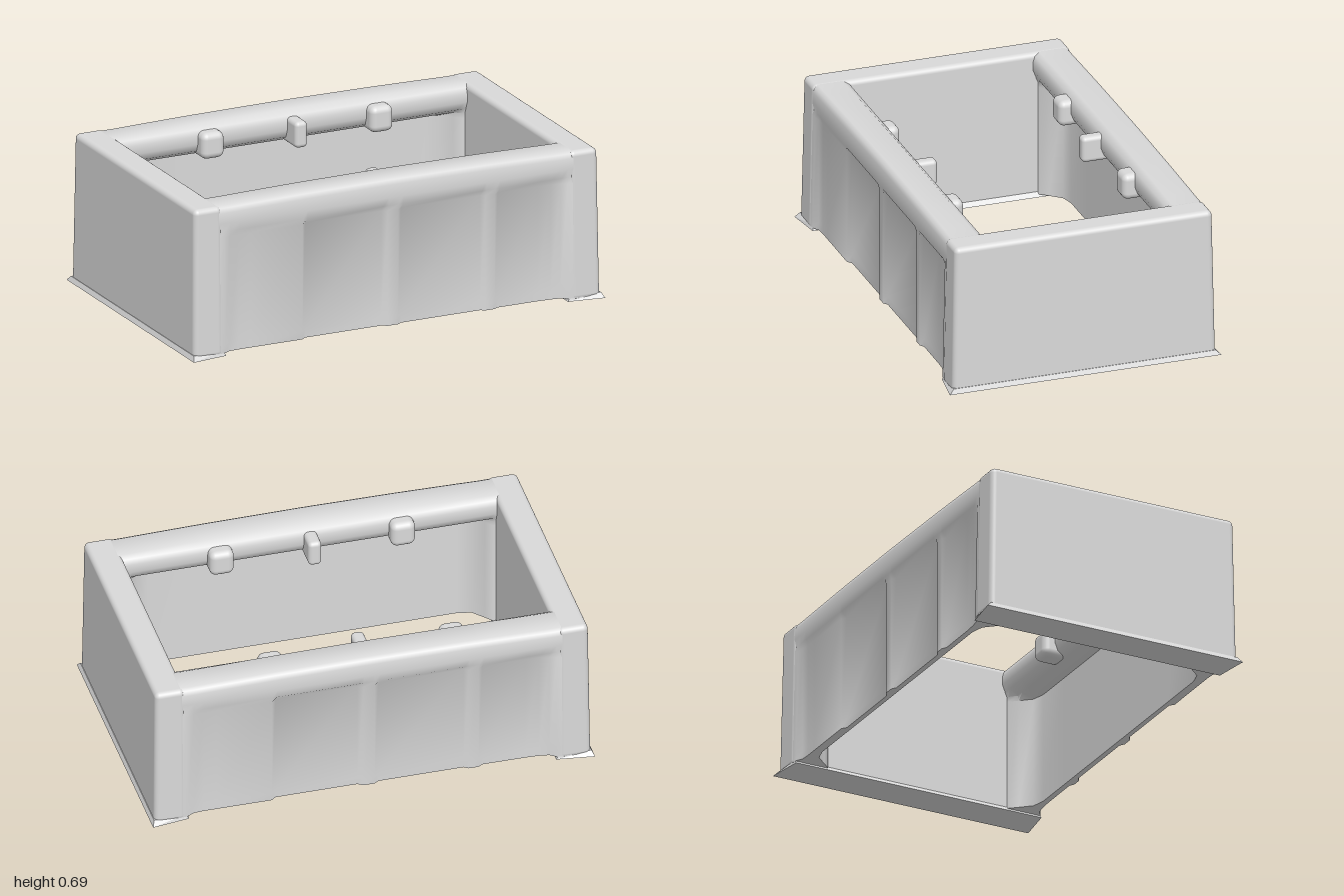
import * as THREE from 'three';
import { toCreasedNormals } from 'three/addons/utils/BufferGeometryUtils.js';
import { RoundedBoxGeometry } from 'three/addons/geometries/RoundedBoxGeometry.js';

const grey = new THREE.MeshStandardMaterial({ color: 0xd9d9d9 });
grey.name = 'pale grey';

function add(parent, name, geometry, x = 0, y = 0, z = 0) {
  const mesh = new THREE.Mesh(geometry, grey);
  mesh.name = name;
  mesh.position.set(x, y, z);
  parent.add(mesh);
}

// Stations along the long wall: x, outer face z, inner face z
const stations = [
  [-0.955, 0.596, 0.44], [-0.87, 0.596, 0.44], [-0.835, 0.592, 0.445], [-0.805, 0.587, 0.48],
  [-0.76, 0.584, 0.53], [-0.7, 0.584, 0.545], [-0.45, 0.585, 0.545], [-0.43, 0.568, 0.545],
  [-0.06, 0.568, 0.545], [-0.035, 0.584, 0.545], [0.015, 0.584, 0.545], [0.035, 0.57, 0.545],
  [0.42, 0.57, 0.545], [0.44, 0.584, 0.545], [0.485, 0.584, 0.545], [0.505, 0.571, 0.545],
  [0.7, 0.572, 0.545], [0.76, 0.575, 0.53], [0.805, 0.582, 0.48], [0.835, 0.592, 0.445],
  [0.87, 0.596, 0.44], [0.955, 0.596, 0.44],
];

// Long wall and top rail: one cross-section swept along x, with shallow panels between ribs
function longWallGeometry() {
  const section = ([x, face, inner]) => {
    const top = 0.683 + 0.01 * Math.max(0, 1 - (x / 0.8) ** 2);
    const flare = Math.abs(x) > 0.83 ? 0.012 : 0; // corner posts lean out with the end walls
    return [
      [inner, 0.012], [inner, 0.525], [Math.min(inner, 0.475), 0.548], [0.434, 0.572],
      [0.421, 0.605], [0.421, 0.645], [0.43, 0.67], [0.455, top], [0.572, top],
      [0.588, top - 0.009], [0.596, top - 0.03], [0.597, 0.605], [0.593, 0.568],
      [face + flare * 0.2, 0.54], [face + flare, 0.05], [face + flare, 0.012],
    ];
  };

  const positions = [];
  const index = [];
  const n = section(stations[0]).length;
  for (const s of stations) for (const [z, y] of section(s)) positions.push(s[0], y, z);
  for (let i = 0; i < stations.length - 1; i++) {
    for (let j = 0; j < n; j++) {
      const a = i * n + j, b = i * n + (j + 1) % n;
      index.push(a, b, a + n, b, b + n, a + n);
    }
  }
  const g = new THREE.BufferGeometry();
  g.setAttribute('position', new THREE.Float32BufferAttribute(positions, 3));
  g.setIndex(index);
  return toCreasedNormals(g, 1);
}

// End wall: rounded block that widens slightly towards the floor
function endWallGeometry() {
  const g = new RoundedBoxGeometry(0.135, 0.684, 1.194, 4, 0.024);
  const p = g.attributes.position;
  for (let i = 0; i < p.count; i++) {
    const t = 0.5 - p.getY(i) / 0.684;
    p.setZ(i, p.getZ(i) * (1 + 0.022 * t));
    if (p.getX(i) > 0) p.setX(i, p.getX(i) + 0.008 * t);
  }
  return g;
}

// Foot under an end wall, flared most at its outer corners
function footGeometry() {
  const g = new THREE.BoxGeometry(0.16, 0.022, 1.26).toNonIndexed();
  const p = g.attributes.position;
  for (let i = 0; i < p.count; i++) {
    const outer = p.getX(i) > 0;
    const upper = p.getY(i) > 0;
    const z = upper ? (outer ? 0.608 : 0.6) : (outer ? 0.63 : 0.606);
    p.setX(i, outer ? (upper ? 0.08 : 0.09) : (upper ? -0.064 : -0.08));
    p.setZ(i, Math.sign(p.getZ(i)) * z);
  }
  g.computeVertexNormals();
  return g;
}

export function createModel() {
  const model = new THREE.Group();
  model.name = 'openFrameBox';

  for (const turn of [0, Math.PI]) {
    // Long side with its rail and three pegs pointing inwards
    const side = new THREE.Group();
    side.name = turn ? 'backSide' : 'frontSide';
    side.rotation.y = turn;
    add(side, 'longWall', longWallGeometry());
    for (const x of [-0.41, 0.41]) {
      add(side, 'widePeg', new RoundedBoxGeometry(0.11, 0.12, 0.12, 3, 0.03), x, 0.605, 0.428);
    }
    add(side, 'narrowPeg', new RoundedBoxGeometry(0.06, 0.12, 0.15, 3, 0.02), 0, 0.605, 0.41);
    model.add(side);

    // Short end with its foot
    const end = new THREE.Group();
    end.name = turn ? 'rightEnd' : 'leftEnd';
    end.rotation.y = turn;
    add(end, 'endWall', endWallGeometry(), 0.9125, 0.342, 0);
    add(end, 'foot', footGeometry(), 0.91, 0.011, 0);
    model.add(end);
  }
  return model;
}
